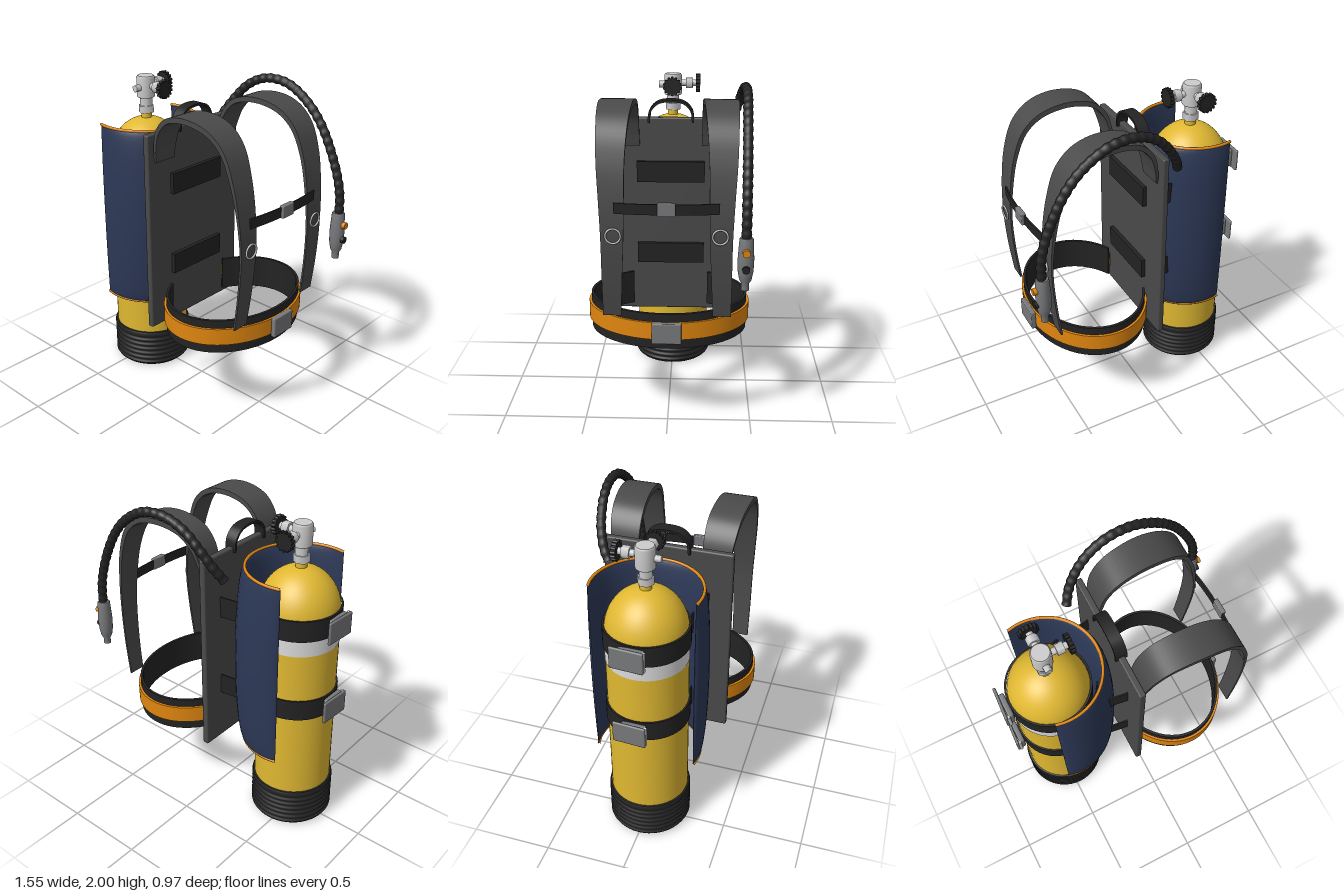
import * as THREE from 'three';
import { RoundedBoxGeometry } from 'three/addons/geometries/RoundedBoxGeometry.js';

const V = (x, y, z) => new THREE.Vector3(x, y, z);
const material = (name, color, side = THREE.FrontSide) => {
  const m = new THREE.MeshStandardMaterial({ color, side });
  m.name = name;
  return m;
};

export function createModel() {
  const yellow = material('tank yellow', 0xe0b832);
  const black = material('rubber black', 0x232323);
  const grey = material('webbing grey', 0x4a4a4a);
  const navy = material('bladder navy', 0x2c3856, THREE.DoubleSide);
  const orange = material('trim orange', 0xe0860f);
  const steel = material('bright metal', 0xcccccc);
  const plastic = material('buckle grey', 0x78797c);
  const white = material('label white', 0xdcdcdc);

  const model = new THREE.Group();
  model.name = 'divingGear';
  const add = (name, geometry, mat, x = 0, y = 0, z = 0, parent = model) => {
    const mesh = new THREE.Mesh(geometry, mat);
    mesh.name = name;
    mesh.position.set(x, y, z);
    parent.add(mesh);
    return mesh;
  };
  // Lathe whose sharp profile corners are doubled so they stay crisp
  const lathe = (profile, n = 48) => {
    const pts = profile.map(p => new THREE.Vector2(...p));
    const crisp = pts.flatMap((p, i) => {
      if (i === 0 || i === pts.length - 1) return [p];
      const before = p.clone().sub(pts[i - 1]), after = pts[i + 1].clone().sub(p);
      return before.angleTo(after) > 0.7 ? [p, p.clone()] : [p];
    });
    return new THREE.LatheGeometry(crisp, n);
  };
  const box = (w, h, d, r = 0.006) => new RoundedBoxGeometry(w, h, d, 2, r);
  const rod = (r, h, n = 24, axis = 'y') => {
    const g = new THREE.CylinderGeometry(r, r, h, n);
    if (axis === 'x') g.rotateZ(-Math.PI / 2);
    if (axis === 'z') g.rotateX(Math.PI / 2);
    return g;
  };

  // Flat webbing swept along a path; "across" is the direction of its width
  const webbing = (pts, across, width, thick, n = 48) => {
    const curve = new THREE.CatmullRomCurve3(pts);
    const g = new THREE.BoxGeometry(1, 1, 1, n, 1, 1), p = g.attributes.position;
    for (let i = 0; i < p.count; i++) {
      const s = THREE.MathUtils.clamp(p.getX(i) + 0.5, 0, 1);
      const normal = across.clone().cross(curve.getTangent(s)).normalize();
      const w = typeof width === 'function' ? width(s) : width;
      const h = typeof thick === 'function' ? thick(s) : thick;
      const q = curve.getPoint(s).addScaledVector(normal, p.getY(i) * h).addScaledVector(across, p.getZ(i) * w);
      p.setXYZ(i, q.x, q.y, q.z);
    }
    g.computeVertexNormals();
    return g;
  };
  const X = V(1, 0, 0), Y = V(0, 1, 0), Z = V(0, 0, 1);

  // Tank with domed shoulder, label and ribbed boot
  const tx = -0.475;
  const tankProfile = [[0, 0.05], [0.24, 0.05], [0.24, 0.8], [0.24, 1.43]];
  for (let i = 1; i <= 14; i++) {
    const a = (i / 14) * 1.43;
    tankProfile.push([0.24 * Math.cos(a), 1.43 + 0.27 * Math.sin(a)]);
  }
  tankProfile.push([0.033, 1.735]);
  add('tank', lathe(tankProfile), yellow, tx);
  add('tankLabel', new THREE.CylinderGeometry(0.2425, 0.2425, 0.13, 48, 1, true), white, tx, 1.315);
  const bootProfile = [[0, 0], [0.235, 0], [0.248, 0.012]];
  for (let i = 0; i <= 36; i++) {
    bootProfile.push([0.252 + 0.004 * Math.cos((i / 6) * Math.PI * 2), 0.025 + (i / 36) * 0.21]);
  }
  bootProfile.push([0.255, 0.25], [0.25, 0.26], [0.238, 0.262]);
  add('tankBoot', lathe(bootProfile), black, tx);

  // Valve with two hand wheels
  const valve = new THREE.Group();
  valve.name = 'valve';
  valve.position.set(tx, 0, 0);
  model.add(valve);
  add('valveNut', rod(0.048, 0.045, 6), steel, 0, 1.75, 0, valve);
  add('valveStem', rod(0.039, 0.07, 8), steel, 0, 1.8, 0, valve);
  add('valveBody', lathe([[0, 1.825], [0.052, 1.825], [0.057, 1.832], [0.057, 1.95], [0.05, 1.96], [0, 1.96]], 32), steel, 0, 0, 0, valve);
  add('valvePort', rod(0.022, 0.05, 6, 'z'), steel, 0, 1.89, 0.067, valve);
  const addWheel = (name, turn) => {
    const arm = new THREE.Group();
    arm.name = name;
    arm.position.y = 1.9;
    arm.rotation.y = turn;
    valve.add(arm);
    add('spindle', rod(0.02, 0.13, 16, 'x'), steel, 0.1, 0, 0, arm);
    add('spindleNut', rod(0.036, 0.045, 6, 'x'), steel, 0.105, 0, 0, arm);
    add('wheelHub', rod(0.05, 0.026, 24, 'x'), black, 0.162, 0, 0, arm);
    for (let i = 0; i < 14; i++) {
      const a = (i / 14) * Math.PI * 2;
      add('wheelGrip', rod(0.009, 0.028, 8, 'x'), black, 0.162, 0.051 * Math.cos(a), 0.051 * Math.sin(a), arm);
    }
  };
  addWheel('sideHandWheel', 0);
  addWheel('rearHandWheel', Math.PI / 2);

  // Crescent air bladder wrapped round the tank, with piping at both ends
  const reach = 1.84;
  for (const side of [1, -1]) {
    const g = new THREE.PlaneGeometry(Math.PI, Math.PI, 40, 28), p = g.attributes.position;
    for (let i = 0; i < p.count; i++) {
      const a = p.getX(i), b = p.getY(i);
      const r = 0.315 + side * 0.057 * Math.cos(a) * Math.cos(b), th = reach * Math.sin(a);
      p.setXYZ(i, tx + r * Math.cos(th), 1.12 + 0.578 * Math.sin(b), -r * Math.sin(th));
    }
    g.computeVertexNormals();
    add(side > 0 ? 'bladderOuter' : 'bladderInner', g, navy);
  }
  const arc = [];
  for (let i = 0; i <= 20; i++) {
    const th = reach * (i / 10 - 1);
    arc.push(V(tx + 0.315 * Math.cos(th), 0, 0.315 * Math.sin(th)));
  }
  for (const y of [0.543, 1.697]) {
    add('bladderPiping', new THREE.TubeGeometry(new THREE.CatmullRomCurve3(arc), 48, 0.009, 8), orange, 0, y);
  }

  // Back plate and carry handle
  add('backPlate', box(0.04, 1.255, 0.78, 0.01), grey, -0.08, 1.122);
  add('carryHandle', webbing([V(-0.08, 1.72, 0.135), V(-0.08, 1.79, 0.125), V(-0.08, 1.838, 0.08), V(-0.08, 1.852, 0),
    V(-0.08, 1.838, -0.08), V(-0.08, 1.79, -0.125), V(-0.08, 1.72, -0.135)], X, 0.072, 0.014), black);

  // Tank bands with cam buckles
  for (const y of [0.885, 1.415]) {
    add('tankBand', lathe([[0.238, -0.065], [0.25, -0.065], [0.25, 0.065], [0.238, 0.065]]), black, tx, y);
    add('bandOnPlate', new THREE.BoxGeometry(0.05, 0.13, 0.42), black, -0.06, y);
    for (const s of [1, -1]) {
      add('bandSide', webbing([V(-0.36, y, s * 0.215), V(-0.2, y, s * 0.239), V(-0.08, y, s * 0.255)], Y, 0.13, 0.008, 4), black);
    }
    add('camBuckle', box(0.035, 0.12, 0.15, 0.012), plastic, -0.74, y);
    const lever = add('camLever', box(0.018, 0.14, 0.2, 0.008), plastic, -0.766, y, -0.02);
    lever.rotation.y = -0.06;
    add('camPin', rod(0.01, 0.125, 12), steel, -0.757, y, 0.075);
  }

  // Shoulder straps with rings, mirrored
  const strapPath = [[-0.052, 1.58, 0.265], [-0.035, 1.68, 0.275], [0, 1.78, 0.282], [0.08, 1.86, 0.288], [0.24, 1.893, 0.298],
    [0.4, 1.86, 0.302], [0.5, 1.775, 0.305], [0.565, 1.62, 0.308], [0.605, 1.42, 0.304], [0.622, 1.2, 0.302],
    [0.61, 0.95, 0.308], [0.585, 0.73, 0.313]];
  const strapWidth = s => s < 0.4 ? 0.15 + 0.045 * Math.sin((s / 0.4) * Math.PI / 2)
    : 0.105 + 0.09 * Math.pow(1 - (s - 0.4) / 0.6, 1.2);
  const strapThick = s => 0.012 + 0.02 * Math.sin(Math.PI * Math.min(1, s * 1.25));
  for (const s of [1, -1]) {
    add('shoulderStrap', webbing(strapPath.map(([x, y, z]) => V(x, y, s * z)), Z, strapWidth, strapThick, 64), grey);
    const ring = add('strapRing', new THREE.TorusGeometry(0.042, 0.006, 8, 32), steel, 0.64, 1.225, s * 0.295);
    ring.rotation.y = Math.PI / 2;
  }

  // Chest strap and buckle
  add('chestStrap', webbing([V(0.622, 1.38, 0.29), V(0.638, 1.38, 0.15), V(0.643, 1.38, 0), V(0.638, 1.38, -0.15),
    V(0.622, 1.38, -0.29)], Y, 0.06, 0.01, 16), black);
  add('chestBuckle', box(0.03, 0.075, 0.1), plastic, 0.648, 1.382);

  // Waist belt: black band with an orange outer band
  const oval = (rx, rz) => {
    const pts = [];
    for (let i = 0; i <= 32; i++) {
      const a = (i / 16 - 1) * 2.6;
      pts.push(V(0.268 + rx * Math.cos(a), 0, rz * Math.sin(a)));
    }
    return pts;
  };
  add('waistBelt', webbing(oval(0.354, 0.461), Y, 0.215, 0.016, 80), black, 0, 0.65);
  add('waistTrim', webbing(oval(0.367, 0.476), Y, 0.105, 0.016, 80), orange, 0, 0.655);
  add('waistBuckle', box(0.03, 0.125, 0.17), plastic, 0.651, 0.648);

  // Corrugated inflator hose
  const hosePath = new THREE.CatmullRomCurve3([[-0.19, 1.64, -0.325], [-0.155, 1.71, -0.365], [-0.09, 1.81, -0.4], [0, 1.905, -0.42],
    [0.1, 1.957, -0.432], [0.2, 1.97, -0.438], [0.31, 1.95, -0.44], [0.45, 1.865, -0.437], [0.55, 1.755, -0.435],
    [0.635, 1.6, -0.434], [0.692, 1.45, -0.433], [0.712, 1.35, -0.433], [0.716, 1.22, -0.433]].map(p => V(...p)));
  const segs = 180, sides = 12;
  const hose = new THREE.TubeGeometry(hosePath, segs, 0.027, sides), hp = hose.attributes.position;
  for (let i = 0; i < hp.count; i++) {
    const s = Math.floor(i / (sides + 1)) / segs, c = hosePath.getPointAt(s);
    const q = V(0, 0, 0).fromBufferAttribute(hp, i).sub(c).multiplyScalar(1 + 0.08 * Math.cos(s * 30 * Math.PI * 2)).add(c);
    hp.setXYZ(i, q.x, q.y, q.z);
  }
  hose.computeVertexNormals();
  add('inflatorHose', hose, black);

  // Inflator handset with two buttons
  const ix = 0.712, iz = -0.433;
  add('inflatorBody', lathe([[0, 0.95], [0.022, 0.95], [0.022, 0.99], [0.034, 1.01], [0.043, 1.06], [0.045, 1.13],
    [0.041, 1.2], [0.038, 1.245], [0.034, 1.25], [0, 1.25]], 24), plastic, ix, 0, iz);
  add('inflateButton', rod(0.021, 0.04, 20, 'x'), orange, 0.753, 1.177, iz);
  add('deflateButton', rod(0.021, 0.035, 20, 'x'), black, 0.753, 1.082, iz);

  return model;
}
